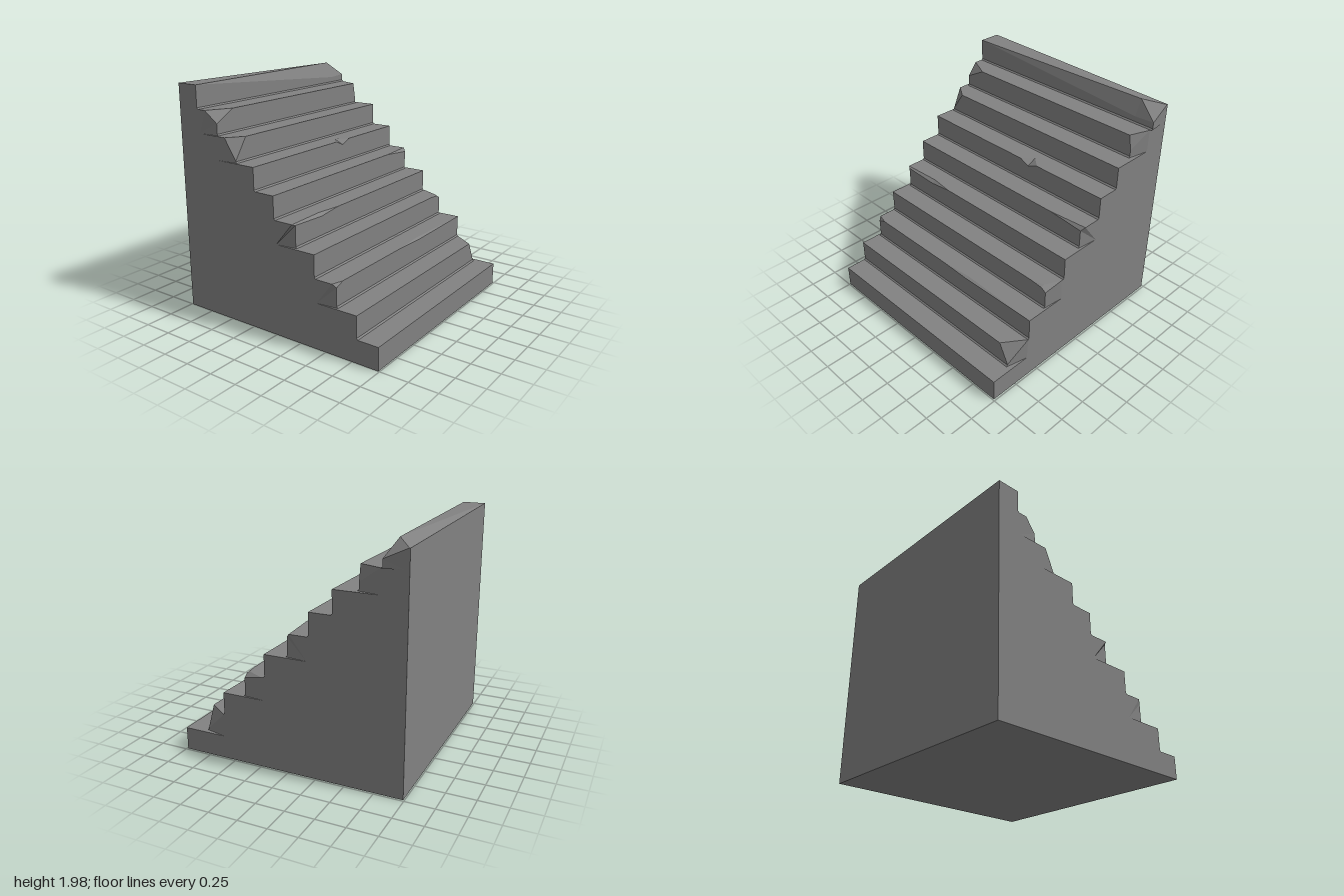
import * as THREE from 'three';

const LEFT = 0.985, RIGHT = -1, BACK = -0.99, RISE = 0.198;

// Damage per step, as stations along x.
// setback: worn depth on the tread, fall: worn height on the riser,
// inset: sideways loss at the riser, drop: lowering of the tread edge,
// backDrop: lowering of the tread at the back wall
const wear = [
  [],
  [{ x: 0.85 }, { x: LEFT, setback: 0.19, fall: 0.18, inset: 0.045 }],
  [{ x: RIGHT, setback: 0.03, fall: 0.03, inset: 0.02 }, { x: -0.9 }, { x: -0.05 },
    { x: 0.24, setback: 0.025, fall: 0.012 }, { x: LEFT }],
  [{ x: 0.8 }, { x: 0.92, setback: 0.03, fall: 0.01 }, { x: LEFT, setback: 0.17, fall: 0.04, inset: 0.02 }],
  [{ x: RIGHT, setback: 0.015, fall: 0.01, inset: 0.025 }, { x: -0.64, setback: 0.03, fall: 0.025 }, { x: -0.42 }],
  [{ x: 0.64 }, { x: LEFT, setback: 0.03, fall: 0.03, inset: 0.025 }],
  [{ x: 0.1 }, { x: 0.19, setback: 0.09, fall: 0.04 }, { x: 0.29 }],
  [{ x: RIGHT, setback: 0.1, fall: 0.18, inset: 0.015 }, { x: -0.86 }],
  [{ x: RIGHT, setback: 0.11, fall: 0.1, inset: 0.02 }, { x: -0.79 }, { x: 0.92 },
    { x: LEFT, setback: 0.18, fall: 0.13, inset: 0.04 }],
  [{ x: RIGHT }, { x: 0.82, setback: 0.06, fall: 0.14, backDrop: 0.037 },
    { x: LEFT, setback: 0.19, fall: 0.13, inset: -0.015, drop: 0.04, backDrop: 0.04 }],
];

// One slab: a cross-section lofted through the stations, closed at both ends
function stepGeometry(i) {
  const y0 = RISE * i, y1 = y0 + RISE, front = 0.99 - RISE * i;
  const fillet = i ? 0.012 : 0;
  const stations = [...wear[i]];
  if (!stations.length || stations[0].x > RIGHT) stations.unshift({ x: RIGHT });
  if (stations[stations.length - 1].x < LEFT) stations.push({ x: LEFT });

  const rings = stations.map(({ x, setback = 0, fall = 0, inset = 0, drop = 0, backDrop = 0 }) => {
    const riserX = x - Math.sign(x) * inset;
    return [
      [x, y0, BACK],
      [x, y1 - backDrop, BACK],
      [x, y1 - drop, front - setback],
      [riserX, y1 - fall, front],
      [riserX, y0 + fillet, front],
      [riserX, y0, front + fillet],
      [x, y0, front - 0.18],
    ];
  });

  const points = [];
  const tri = (a, b, c) => points.push(...a, ...b, ...c);
  const n = rings[0].length;
  for (let j = 0; j < rings.length - 1; j++) {
    const r = rings[j], s = rings[j + 1];
    for (let k = 0; k < n; k++) {
      const m = (k + 1) % n;
      tri(r[k], r[m], s[m]);
      tri(r[k], s[m], s[k]);
    }
  }
  // End faces
  const first = rings[0], last = rings[rings.length - 1];
  for (let k = 0; k < n - 2; k++) {
    tri(last[n - 1], last[k], last[k + 1]);
    tri(first[n - 1], first[k + 1], first[k]);
  }

  const geometry = new THREE.BufferGeometry();
  geometry.setAttribute('position', new THREE.Float32BufferAttribute(points, 3));
  geometry.computeVertexNormals();
  return geometry;
}

export function createModel() {
  const group = new THREE.Group();
  group.name = 'wornStoneStairs';
  // Dark stone
  const stone = new THREE.MeshStandardMaterial({ color: 0x828282, flatShading: true });
  for (let i = 0; i < wear.length; i++) {
    const step = new THREE.Mesh(stepGeometry(i), stone);
    step.name = `step${i + 1}`;
    group.add(step);
  }
  return group;
}
